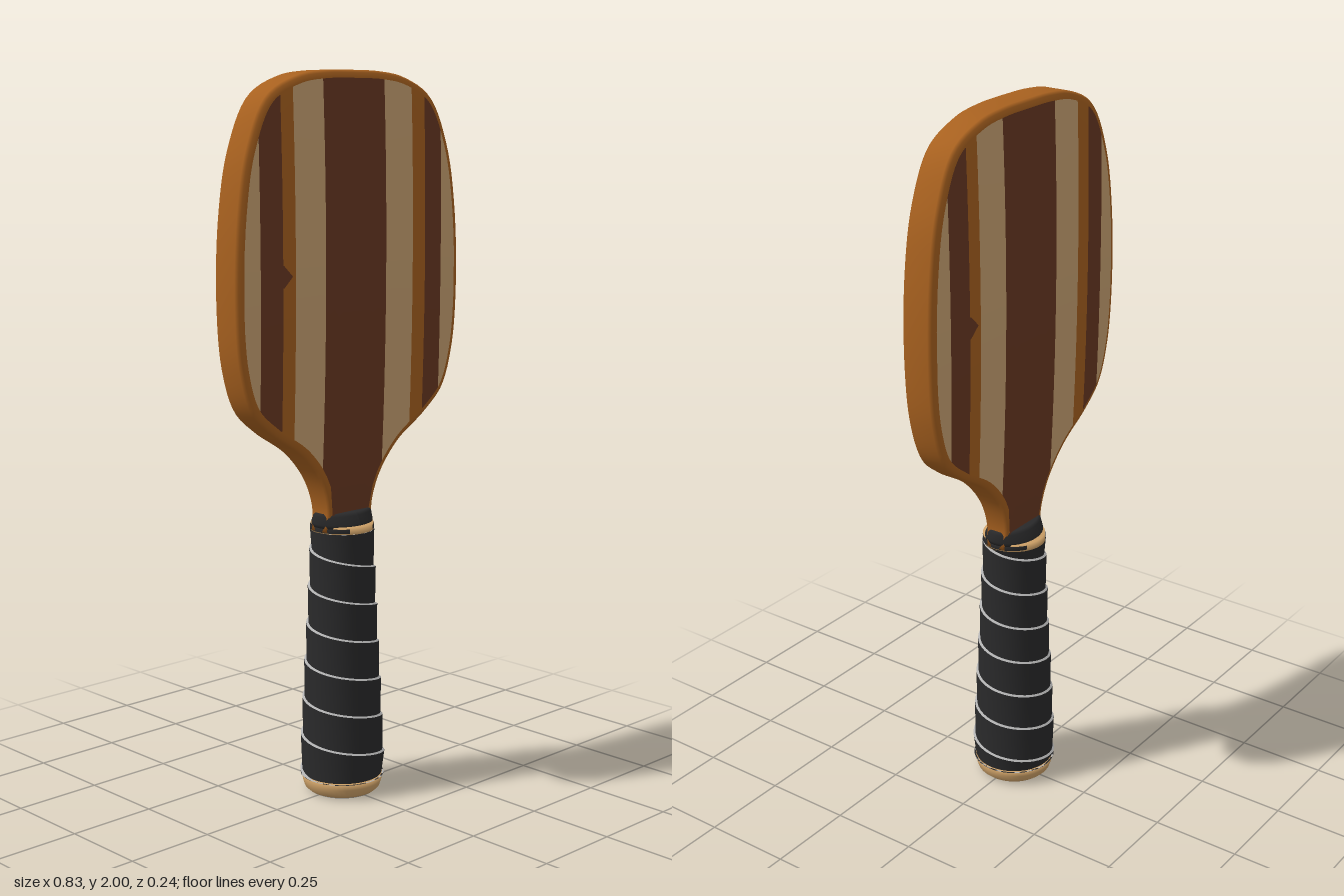
import * as THREE from 'three';

const mat = (name, color, side = THREE.FrontSide) => {
  const m = new THREE.MeshStandardMaterial({ color, side });
  m.name = name;
  return m;
};

// Smooth curve through half of the blade outline, neck to top centre
const HALF = new THREE.CatmullRomCurve3([
  [0.09, 0.76], [0.086, 0.82], [0.112, 0.9], [0.18, 0.983], [0.29, 1.055], [0.36, 1.118],
  [0.4, 1.23], [0.415, 1.4], [0.405, 1.63], [0.372, 1.8], [0.305, 1.93], [0.2, 1.983],
  [0.1, 1.998], [0, 2],
].map(([x, y]) => new THREE.Vector3(x, y, 0)), false, 'centripetal').getSpacedPoints(70);

// Half thickness of the gently domed blade
const dome = (x, y) => (0.058 - 0.045 * (y - 1.5) ** 2) * (1 - 0.2 * (x / 0.41) ** 2);

// Half outline moved inwards along its normal
function insetHalf(d) {
  return HALF.map((p, i) => {
    const a = HALF[Math.max(i - 1, 0)], b = HALF[Math.min(i + 1, HALF.length - 1)];
    const tx = b.x - a.x, ty = b.y - a.y, l = Math.hypot(tx, ty);
    return i === HALF.length - 1 ? [0, p.y - d] : [p.x - (ty / l) * d, p.y + (tx / l) * d];
  });
}

const mirrored = half => [...half, ...half.slice(0, -1).reverse().map(([x, y]) => [-x, y])];

// Surface through a list of equally long rows of points
function loft(rows, closed) {
  const n = rows[0].length, index = [];
  for (let r = 0; r < rows.length - 1; r++) {
    for (let i = 0; i < (closed ? n : n - 1); i++) {
      const j = (i + 1) % n, a = r * n, b = a + n;
      index.push(a + i, b + i, b + j, a + i, b + j, a + j);
    }
  }
  const g = new THREE.BufferGeometry();
  g.setAttribute('position', new THREE.Float32BufferAttribute(rows.flat(2), 3));
  g.setIndex(index);
  g.computeVertexNormals();
  return g;
}

// Blade core: domed face, rounded rim, domed back
function bladeGeometry() {
  const sections = [[0, 0.02, 1], [0.25, 0.02, 1], [0.5, 0.02, 1], [0.75, 0.02, 1],
    [1, 0.02, 1], [1, 0.007, 0.96], [1, 0, 0.78]];
  const ring = ([k, d, t], sign) => mirrored(insetHalf(d))
    .map(([x, y]) => [x * k, y, sign * t * dome(x * k, y)]);
  return loft([...sections.map(s => ring(s, 1)), ...sections.reverse().map(s => ring(s, -1))], true);
}

// Painted stripe between two x positions, trimmed to the inset outline
const TRIM = insetHalf(0.021);
const TRIM_X = Math.max(...TRIM.map(p => p[0])) - 0.001;
function trimY(x) {
  const ax = Math.abs(x), hits = [];
  for (let i = 0; i < TRIM.length - 1; i++) {
    const [x0, y0] = TRIM[i], [x1, y1] = TRIM[i + 1];
    if ((x0 - ax) * (x1 - ax) <= 0 && x0 !== x1) hits.push(y0 + (y1 - y0) * (ax - x0) / (x1 - x0));
  }
  const low = Math.min(...hits);
  return [ax < 0.064 || low > 1.5 ? 0.79 : low, Math.max(...hits)];
}
function stripeGeometry(x0, x1) {
  const rows = [], nx = 14, ny = 24;
  for (let j = 0; j <= ny; j++) {
    const row = [];
    for (let i = 0; i <= nx; i++) {
      const x = THREE.MathUtils.clamp(x0 + (x1 - x0) * i / nx, -TRIM_X, TRIM_X);
      const [lo, hi] = trimY(x), y = hi + (lo - hi) * j / ny;
      row.push([x, y, dome(x, y) + 0.002]);
    }
    rows.push(row);
  }
  return loft(rows, false);
}

// Handle radius, flaring towards the butt
const RADII = [[0.04, 0.113], [0.07, 0.116], [0.12, 0.116], [0.2, 0.111], [0.3, 0.107],
  [0.5, 0.096], [0.76, 0.085]];
function radius(y) {
  for (let i = 1; i < RADII.length; i++) {
    const [y0, r0] = RADII[i - 1], [y1, r1] = RADII[i];
    if (y <= y1) return r0 + (r1 - r0) * Math.max(0, (y - y0) / (y1 - y0));
  }
  return 0.085;
}

// Helical strip around the handle between two edges: [drop, radial offset]
function helixStrip(top, bottom) {
  const pitch = 0.107, per = 40, count = per * 9;
  const edge = ([drop, off]) => Array.from({ length: count + 1 }, (_, i) => {
    const t = (i / per) * Math.PI * 2;
    const y = THREE.MathUtils.clamp(0.901 - pitch * (i / per + drop), 0.047, 0.755);
    const r = radius(y) + off;
    return [-Math.cos(t) * r, y, Math.sin(t) * r];
  });
  return loft([edge(top), edge(bottom)], false);
}

const lathe = pts => new THREE.LatheGeometry(pts.map(([x, y]) => new THREE.Vector2(x, y)), 48);

export function createModel() {
  const root = new THREE.Group();
  const rimWood = mat('amber wood', 0xa8611f);
  const darkWood = mat('dark wood', 0x693822);
  const paleWood = mat('pale wood', 0xcaa373);
  const trim = mat('tan trim', 0xcfa268);
  const wrap = mat('black wrap', 0x2a2a2b, THREE.DoubleSide);
  const seam = mat('grey seam', 0xb0b0b0, THREE.DoubleSide);
  const add = (parent, name, geometry, material) => {
    const m = new THREE.Mesh(geometry, material);
    m.name = name;
    parent.add(m);
    return m;
  };

  // Blade with the same striped inlay on both faces
  add(root, 'blade', bladeGeometry(), rimWood);
  const stripes = [
    [-0.4, -0.34, paleWood], [-0.34, -0.265, darkWood], [-0.222, -0.116, paleWood],
    [-0.116, 0.11, darkWood], [0.11, 0.217, paleWood], [0.268, 0.335, darkWood],
    [0.335, 0.4, paleWood],
  ];
  for (const [name, turn] of [['frontInlay', 0], ['backInlay', Math.PI]]) {
    const inlay = new THREE.Group();
    inlay.name = name;
    for (const [a, b, m] of stripes) add(inlay, 'stripe', stripeGeometry(a, b), m);
    // Small knot beside the left dark stripe
    const knot = add(inlay, 'knot', new THREE.CircleGeometry(0.03, 4), darkWood);
    knot.position.set(-0.263, 1.47, dome(-0.245, 1.47) + 0.002);
    knot.rotation.y = -0.06;
    inlay.rotation.y = turn;
    root.add(inlay);
  }

  // Wrapped grip: overlapping spiral bands with a light ledge between them
  add(root, 'gripWrap', helixStrip([0, 0.004], [0.965, -0.002]), wrap);
  add(root, 'gripSeam', helixStrip([0.965, -0.002], [1, 0.004]), seam);

  // Trim ring and flattened collar at the neck
  add(root, 'neckRing', lathe([[0, 0.75], [0.087, 0.75], [0.087, 0.775], [0, 0.775]]), trim);
  add(root, 'neckRingBand', lathe([[0.086, 0.758], [0.0885, 0.758], [0.0885, 0.77], [0.086, 0.77]]), wrap)
    .scale.set(1.03, 1, 0.97);
  const collar = lathe([[0, 0.77], [0.092, 0.77], [0.095, 0.78], [0.095, 0.802], [0.09, 0.81], [0, 0.812]]);
  const p = collar.attributes.position;
  for (let i = 0; i < p.count; i++) {
    p.setZ(i, p.getZ(i) * (0.82 - 0.22 * THREE.MathUtils.clamp((p.getY(i) - 0.77) / 0.04, 0, 1)));
  }
  collar.computeVertexNormals();
  add(root, 'collar', collar, wrap);

  // Butt cap with a grey end disc
  add(root, 'buttCap', lathe([[0, 0.003], [0.096, 0.003], [0.106, 0.012], [0.112, 0.03],
    [0.113, 0.05], [0, 0.05]]), trim);
  const disc = add(root, 'endDisc', new THREE.CylinderGeometry(0.094, 0.092, 0.006, 48), seam);
  disc.position.y = 0.003;
  return root;
}
